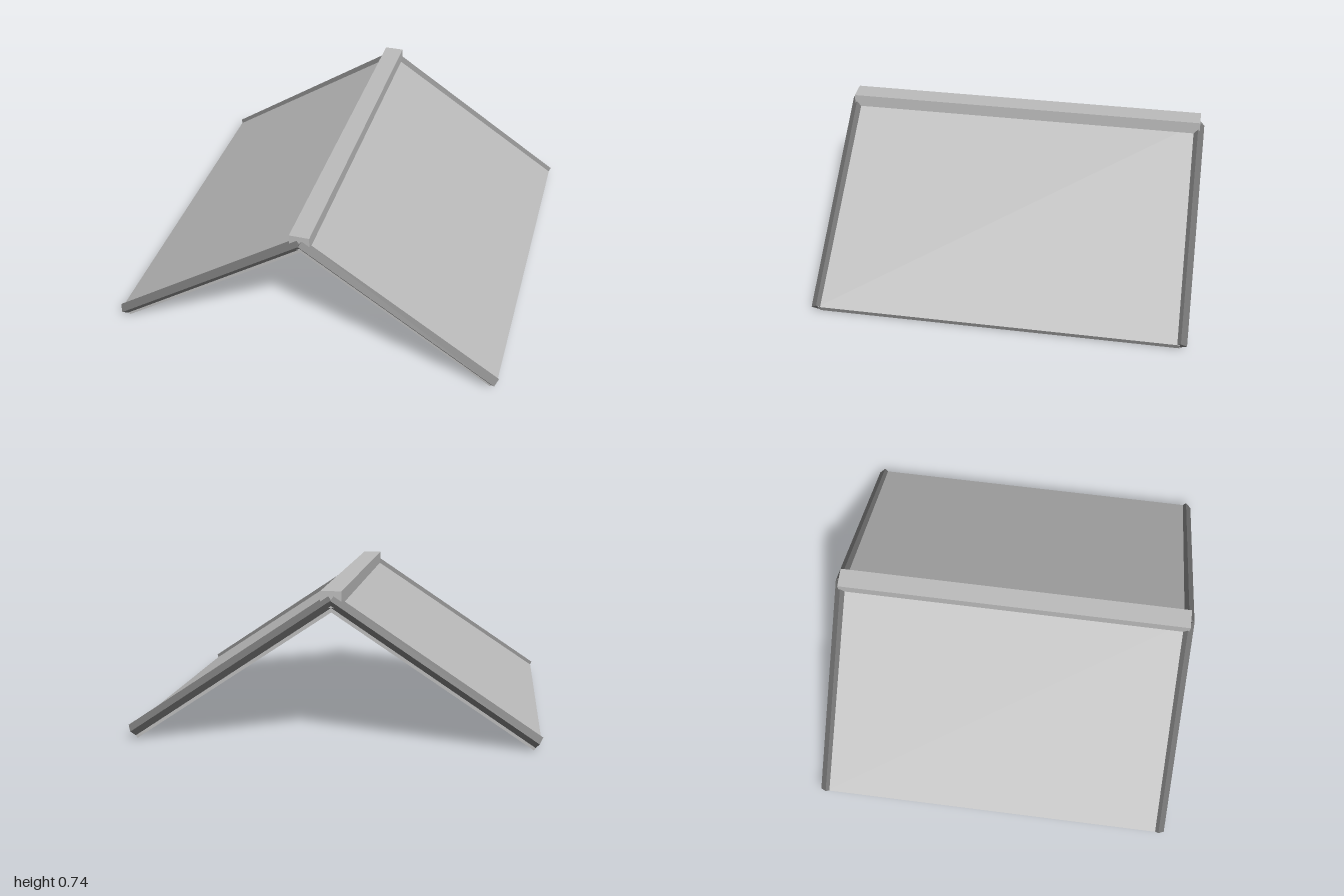
import * as THREE from 'three';

const slate = new THREE.MeshStandardMaterial({ color: 0xbababa });
slate.name = 'light grey roof';
const trim = new THREE.MeshStandardMaterial({ color: 0x747474 });
trim.name = 'dark grey trim';

function addMesh(parent, name, geometry, material) {
  const mesh = new THREE.Mesh(geometry, material);
  mesh.name = name;
  parent.add(mesh);
  return mesh;
}

// One sloping slab, mitred at the ridge; side is +1 (left) or -1 (right)
function slabGeometry(side) {
  const profile = [[0, 0.635], [0.955, 0], [0.988, 0.05], [0, 0.705]];
  const shape = new THREE.Shape(profile.map(([x, y]) => new THREE.Vector2(x * side, y)));
  const depth = 1.82;
  return new THREE.ExtrudeGeometry(shape, { depth, bevelEnabled: false }).translate(0, 0, -depth / 2);
}

// Diamond-section bar running from ridge to eave
function bargeGeometry(length) {
  const geometry = new THREE.CylinderGeometry(0.031, 0.031, length, 4).toNonIndexed();
  geometry.computeVertexNormals();
  return geometry;
}

export function createModel() {
  const roof = new THREE.Group();
  roof.name = 'gableRoof';

  const ridge = new THREE.Vector2(0, 0.694);
  const eave = new THREE.Vector2(0.979, 0.039);
  const length = ridge.distanceTo(eave);
  const slope = Math.atan2(ridge.y - eave.y, eave.x);

  for (const side of [1, -1]) {
    const label = side > 0 ? 'left' : 'right';
    addMesh(roof, label + 'RoofSlab', slabGeometry(side), slate);

    // Bargeboards on the front and back gables
    for (const end of [1, -1]) {
      const board = addMesh(roof, label + (end > 0 ? 'Front' : 'Back') + 'Bargeboard', bargeGeometry(length), trim);
      board.position.set(side * eave.x / 2, (ridge.y + eave.y) / 2, end * 0.914);
      board.rotation.z = side * (Math.PI / 2 - slope);
    }
  }

  // Ridge cap
  const cap = addMesh(roof, 'ridgeCap', new THREE.BoxGeometry(0.1, 0.08, 1.845), slate);
  cap.position.set(0, 0.697, 0);

  return roof;
}
